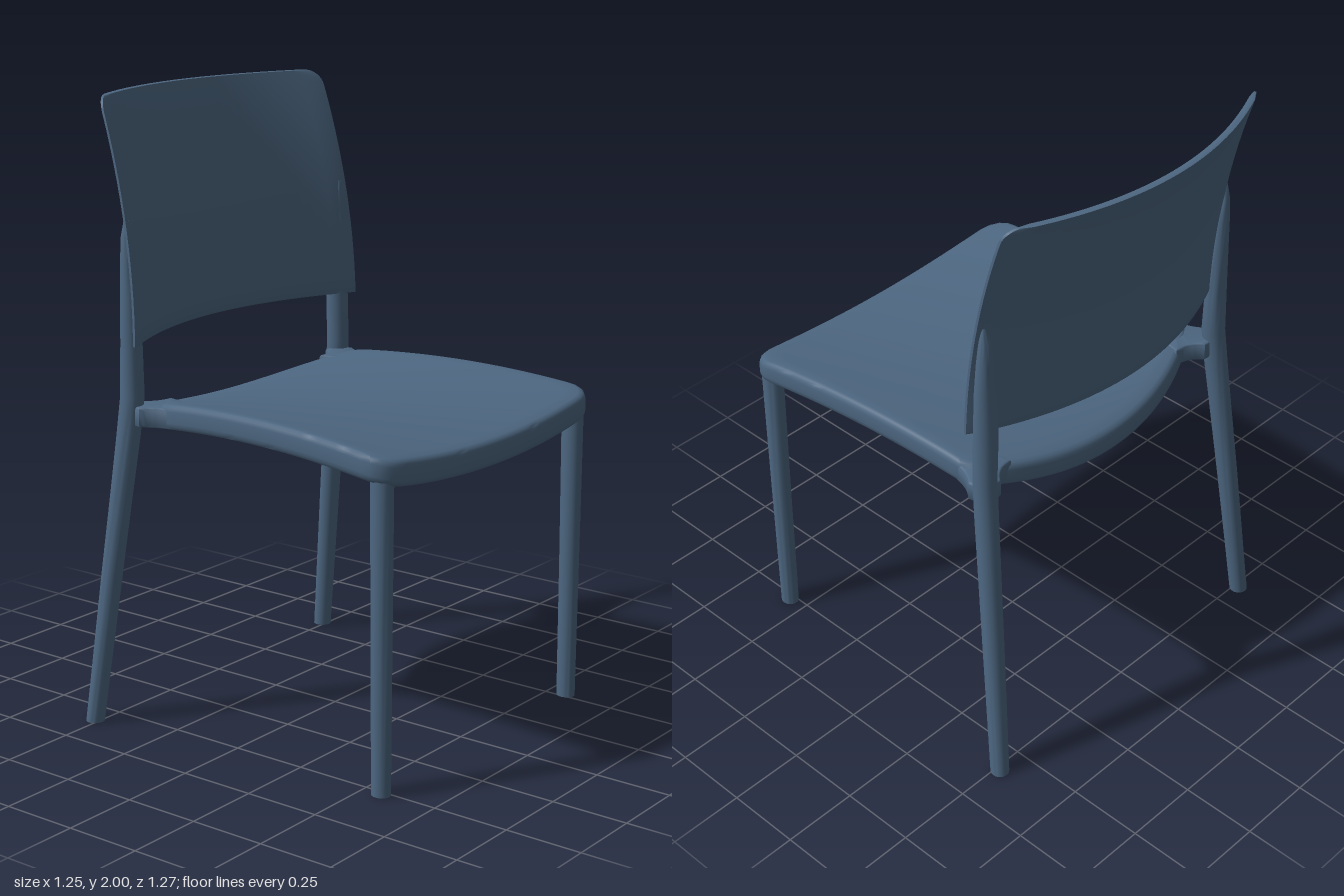
import * as THREE from 'three';
import { toCreasedNormals } from 'three/addons/utils/BufferGeometryUtils.js';

const blue = new THREE.MeshStandardMaterial({ color: 0x4d6781 });
blue.name = 'slate blue plastic';

// Skin closed rings of [x, y, z] points; rings run upwards, points run
// counter-clockwise seen from above. Collapsed triangles are left out.
function loft(rings, crease = 0.7) {
  const n = rings[0].length, index = [];
  const points = rings.flat().map(p => new THREE.Vector3(...p));
  const face = (a, b, c) => {
    const area = new THREE.Triangle(points[a], points[b], points[c]).getArea();
    if (area > 1e-10) index.push(a, b, c);
  };
  for (let i = 0; i < rings.length - 1; i++) {
    for (let j = 0; j < n; j++) {
      const a = i * n + j, b = i * n + (j + 1) % n;
      face(a, b, b + n);
      face(a, b + n, a + n);
    }
  }
  const g = new THREE.BufferGeometry().setFromPoints(points);
  g.setIndex(index);
  return toCreasedNormals(g, crease);
}

function add(parent, name, geometry) {
  const mesh = new THREE.Mesh(geometry, blue);
  mesh.name = name;
  parent.add(mesh);
  return mesh;
}

// Height of the dished seat surface
function seatTop(x, z) {
  const d = z - 0.03, roll = Math.max(0, -z - 0.3);
  return 1.085 - 0.13 * d * d - 0.8 * roll * roll - 0.042 * (1 - (x / 0.55) ** 2);
}

// Front face of the bowed, backward-curving backrest
function backFront(x, y) {
  return -0.485 - 0.23 * (y - 1.25) ** 2 + 0.15 * (x / 0.56) ** 2;
}

function seatGeometry() {
  // half outline in x and z, from front middle to back middle
  const half = new THREE.Shape();
  half.moveTo(0, 0.63);
  half.quadraticCurveTo(0.3, 0.63, 0.48, 0.62);
  half.bezierCurveTo(0.53, 0.617, 0.57, 0.59, 0.565, 0.53);
  half.lineTo(0.51, -0.27);
  half.quadraticCurveTo(0.505, -0.305, 0.46, -0.33);
  half.quadraticCurveTo(0.25, -0.44, 0, -0.44);
  const pts = half.getSpacedPoints(60);
  const outline = [...pts, ...pts.slice(1, -1).reverse().map(p => new THREE.Vector2(-p.x, p.y))];

  // [scale, drop below the seat surface]: underside, skirt, rounded rim, top
  const profile = [[0, 0.022], [0.3, 0.022], [0.6, 0.022], [0.94, 0.022], [0.95, 0.072],
    [0.96, 0.08], [0.985, 0.08], [0.997, 0.072], [1, 0.06], [1, 0.024], [0.996, 0.012],
    [0.985, 0.004], [0.965, 0]];
  for (let s = 0.9; s > 0.05; s -= 0.1) profile.push([s, 0]);
  profile.push([0, 0]);
  const cz = 0.1;
  return loft(profile.map(([s, drop]) => outline.map(p => {
    const x = p.x * s, z = cz + (p.y - cz) * s;
    return [x, seatTop(x, z) - drop, z];
  })));
}

function backrestGeometry() {
  const n = 32, bottom = 1.245, top = 2, r = 0.05, rings = [];
  const ring = (y, thick) => {
    // the top corners are rounded by narrowing the last rings
    const c = Math.max(0, y - (top - r));
    const corner = r - Math.sqrt(Math.max(0, r * r - c * c));
    const w = 0.561 - 0.02 * (y - bottom) / (top - bottom) - corner;
    const front = [], back = [];
    for (let i = 0; i <= n; i++) {
      const x = w * (2 * i / n - 1);
      const mid = backFront(x, y) - 0.011;
      const t = thick * (i === 0 || i === n ? 0.4 : 1);
      front.push([x, y, mid + t]);
      back.unshift([x, y, mid - t]);
    }
    return [...front, ...back];
  };
  rings.push(ring(bottom, 0), ring(bottom, 0.008), ring(bottom + 0.006, 0.011));
  for (let i = 1; i <= 14; i++) rings.push(ring(bottom + (top - r - bottom) * i / 14, 0.011));
  for (let i = 1; i <= 8; i++) {
    rings.push(ring(top - r + r * Math.sin(i / 8 * Math.PI / 2), i < 8 ? 0.011 : 0.008));
  }
  rings.push(ring(top, 0));
  return loft(rings);
}

// Leg from rows of [y, x, z, width radius, depth radius, twist]
function legGeometry(rows, side) {
  const n = 24;
  const first = rows[0], last = rows[rows.length - 1];
  const closed = [[...first.slice(0, 3), 0, 0, 0], ...rows, [...last.slice(0, 3), 0, 0, 0]];
  return loft(closed.map(([y, x, z, rx, rz, twist]) => {
    const ca = Math.cos(twist * side), sa = Math.sin(twist * side);
    return Array.from({ length: n }, (_, j) => {
      const t = j / n * Math.PI * 2;
      const u = rx * Math.cos(t), v = -rz * Math.sin(t);
      return [side * x + u * ca - v * sa, y, z + u * sa + v * ca];
    });
  }));
}

// Web joining a back corner of the seat to its leg
function neckGeometry(side) {
  const s = new THREE.Shape();
  s.moveTo(side * 0.5, -0.25);
  s.quadraticCurveTo(side * 0.508, -0.31, side * 0.54, -0.345);
  s.lineTo(side * 0.53, -0.4);
  s.lineTo(side * 0.475, -0.395);
  s.quadraticCurveTo(side * 0.44, -0.35, side * 0.39, -0.352);
  s.lineTo(side * 0.4, -0.3);
  const g = new THREE.ExtrudeGeometry(s, {
    depth: 0.045, bevelThickness: 0.01, bevelSize: 0.008, bevelSegments: 3, curveSegments: 10,
  });
  g.rotateX(Math.PI / 2);
  g.translate(0, 1.042, 0);
  return toCreasedNormals(g, 0.7);
}

export function createModel() {
  const chair = new THREE.Group();
  chair.name = 'chair';
  add(chair, 'seat', seatGeometry());
  add(chair, 'backrest', backrestGeometry());

  // back legs lean outwards, then blend into the rear of the backrest
  const backRows = [
    [0, 0.597, -0.515, 0.03, 0.03, 0],
    [0.5, 0.564, -0.457, 0.034, 0.034, 0.2],
    [0.95, 0.533, -0.403, 0.037, 0.038, 0.4],
    [1.08, 0.525, -0.39, 0.037, 0.038, 0.46],
  ];
  for (const [y, x, rx, rz] of [[1.25, 0.522, 0.038, 0.034], [1.4, 0.524, 0.032, 0.03],
    [1.5, 0.526, 0.026, 0.025], [1.58, 0.528, 0.018, 0.018], [1.63, 0.53, 0.008, 0.009]]) {
    backRows.push([y, x, backFront(x, y) - rz * 1.1, rx, rz, 0.46]);
  }
  const frontRows = [
    [0, 0.517, 0.567, 0.028, 0.031, 0],
    [0.5, 0.518, 0.567, 0.031, 0.033, 0],
    [1.0, 0.518, 0.566, 0.034, 0.036, 0],
  ];

  for (const [side, label] of [[1, 'left'], [-1, 'right']]) {
    add(chair, label + 'BackLeg', legGeometry(backRows, side));
    add(chair, label + 'FrontLeg', legGeometry(frontRows, side));
    add(chair, label + 'Neck', neckGeometry(side));
    // stacking pads under the rim
    for (const z of [0.29, -0.19]) {
      const x = 0.487 + 0.062 * z;
      const pad = add(chair, label + 'StackingPad', new THREE.CylinderGeometry(0.016, 0.012, 0.06, 12));
      pad.position.set(side * x, seatTop(x, z) - 0.052, z);
    }
  }
  return chair;
}
